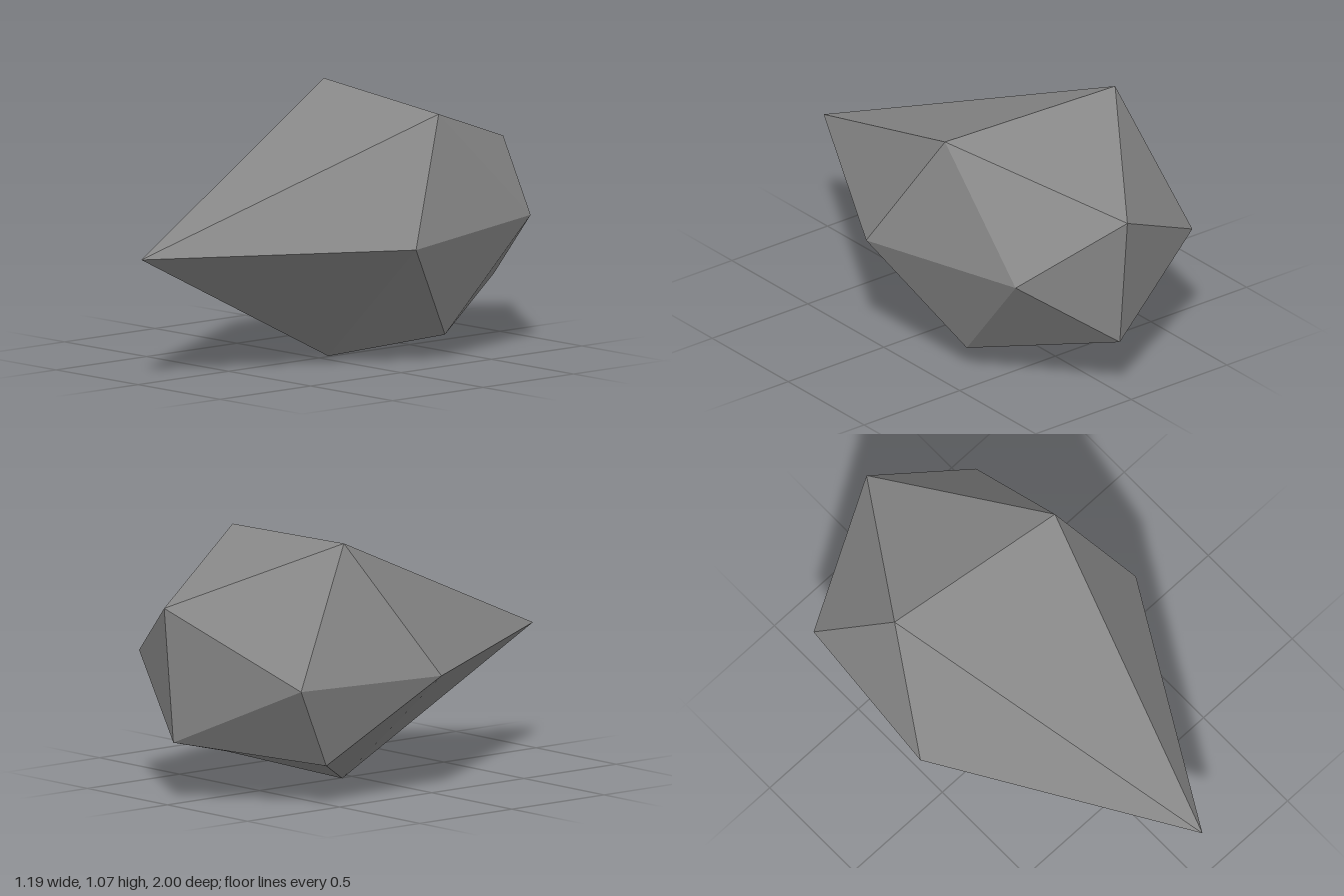
import * as THREE from 'three';

// Faceted boulder: a twenty-sided solid with each corner pulled out of place.
const corners = [
  -0.40, 1.07, -0.39, // top right
  0.41, 1.03, -0.29, // top left
  -0.44, 0.165, -0.52, // bottom right
  0.36, 0.10, -0.37, // bottom left
  -0.01, 0, -0.06, // lowest point
  0.02, 0.52, 1.0, // front tip
  0.02, 0.25, -0.95, // lower back
  0.02, 0.815, -1.0, // upper back
  0.43, 0.56, -0.78, // back left
  0.592, 0.52, 0, // side left
  -0.53, 0.51, -0.735, // back right
  -0.595, 0.503, -0.03, // side right
];

const faces = [
  // around the top right corner
  0, 11, 5, 0, 5, 1, 0, 1, 7, 0, 7, 10, 0, 10, 11,
  // upper belt
  1, 5, 9, 5, 11, 4, 11, 10, 2, 10, 7, 6, 7, 1, 8,
  // around the bottom left corner
  3, 9, 4, 3, 4, 2, 3, 2, 6, 3, 6, 8, 3, 8, 9,
  // lower belt
  4, 9, 5, 2, 4, 11, 6, 2, 10, 8, 6, 7, 9, 8, 1,
];

export function createModel() {
  const stone = new THREE.MeshStandardMaterial({ color: 0x888888, flatShading: true });
  stone.name = 'stone grey';

  const indexed = new THREE.BufferGeometry();
  indexed.setAttribute('position', new THREE.Float32BufferAttribute(corners, 3));
  indexed.setIndex(faces);
  const geometry = indexed.toNonIndexed(); // separate faces keep the edges sharp
  geometry.computeVertexNormals();

  const boulder = new THREE.Mesh(geometry, stone);
  boulder.name = 'boulder';

  const model = new THREE.Group();
  model.name = 'rock';
  model.add(boulder);
  return model;
}
